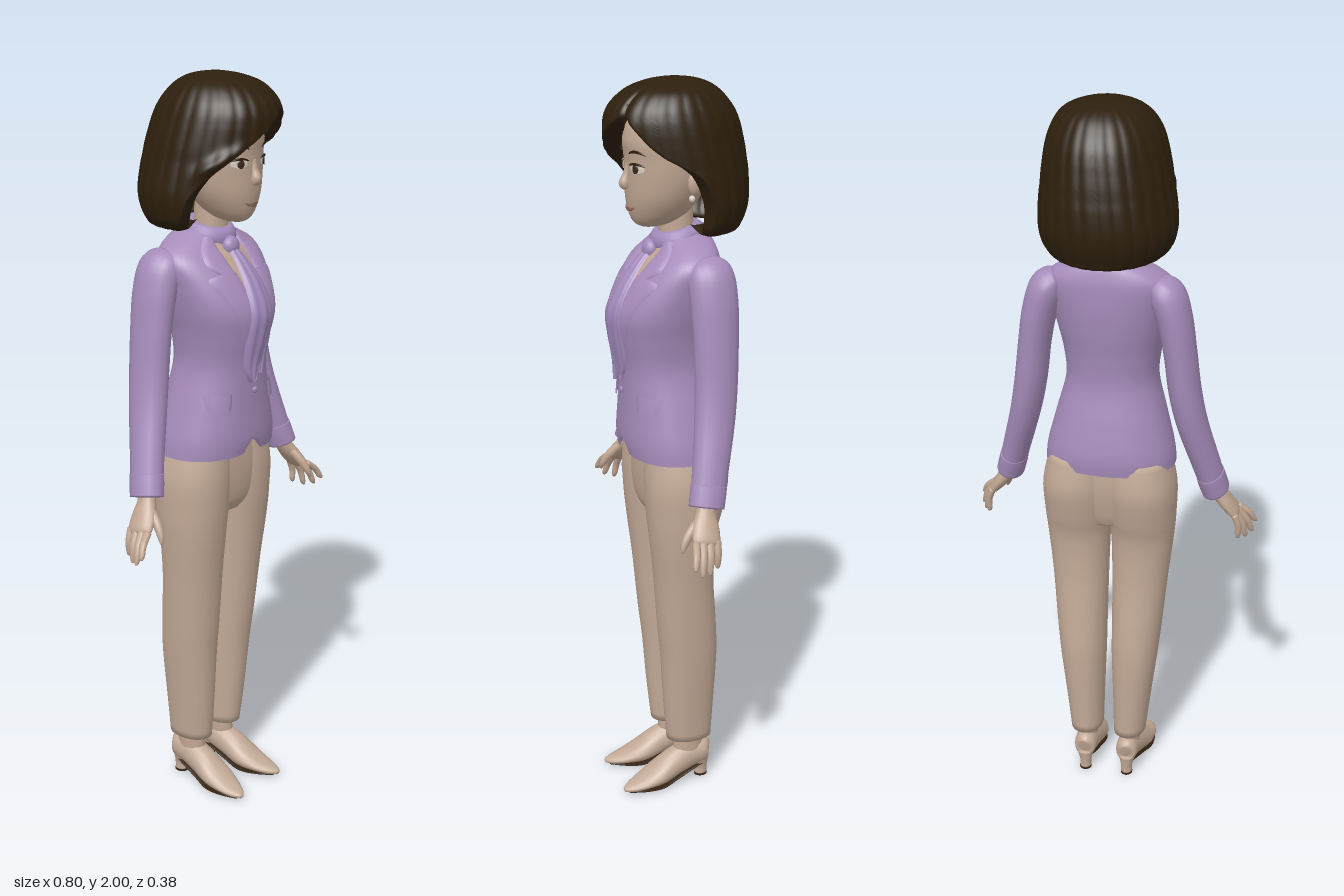
import * as THREE from 'three';
import { mergeVertices } from 'three/addons/utils/BufferGeometryUtils.js';

const mat = (name, color, side = THREE.FrontSide) => {
  const m = new THREE.MeshStandardMaterial({ color, side });
  m.name = name;
  return m;
};

// Smooth interpolation through rows of numbers, t from 0 to 1
function sample(rows, t) {
  const n = rows.length - 1, i = Math.min(n - 1, Math.floor(t * n)), f = t * n - i;
  const r = k => rows[Math.max(0, Math.min(n, k))];
  return rows[i].map((_, c) => {
    const a = r(i - 1)[c], b = r(i)[c], d = r(i + 1)[c], e = r(i + 2)[c];
    return b + 0.5 * f * (d - a + f * (2 * a - 5 * b + 4 * d - e + f * (3 * (b - d) + e - a)));
  });
}

// Surface from a function of (u, v), welded so that closed seams shade smoothly
function grid(nu, nv, fn) {
  const pos = [], idx = [];
  for (let j = 0; j <= nv; j++) for (let i = 0; i <= nu; i++) pos.push(...fn(i / nu, j / nv));
  for (let j = 0; j < nv; j++) for (let i = 0; i < nu; i++) {
    const a = j * (nu + 1) + i, d = a + nu + 1;
    idx.push(a, a + 1, d, a + 1, d + 1, d);
  }
  let g = new THREE.BufferGeometry();
  g.setAttribute('position', new THREE.Float32BufferAttribute(pos, 3));
  g.setIndex(idx);
  g = mergeVertices(g, 1e-5);
  g.computeVertexNormals();
  return g;
}

const bend = (v, e) => Math.sign(v) * Math.pow(Math.abs(v), e);

// Stack of ovals, rows going upward: [y, x0, x1, z0, z1]
function loft(rows, e = 1, cap = true, lift = () => 0) {
  const nv = rows.length * 5;
  return grid(40, nv, (u, v) => {
    const [y, x0, x1, z0, z1] = sample(rows, v), a = u * Math.PI * 2;
    const k = cap && (v === 0 || v === 1) ? 0 : 1;
    const x = (x0 + x1) / 2 + k * (x1 - x0) / 2 * bend(Math.sin(a), e);
    const z = (z0 + z1) / 2 + k * (z1 - z0) / 2 * bend(Math.cos(a), e);
    return [x, y + lift(x, z, v), z];
  });
}

// Limb along a path: [x, y, z, sideRadius, refRadius]
function limb(path, ref = new THREE.Vector3(0, 0, 1), seg = 18) {
  const nv = path.length * 5;
  return grid(seg, nv, (u, v) => {
    const p = sample(path, v), q = sample(path, Math.min(1, v + 0.01)), o = sample(path, Math.max(0, v - 0.01));
    const T = new THREE.Vector3(q[0] - o[0], q[1] - o[1], q[2] - o[2]).normalize();
    const B = ref.clone().addScaledVector(T, -T.dot(ref)).normalize();
    const A = B.clone().cross(T), a = u * Math.PI * 2, k = v === 0 || v === 1 ? 0 : 1;
    return new THREE.Vector3(p[0], p[1], p[2])
      .addScaledVector(A, k * p[3] * Math.cos(a)).addScaledVector(B, k * p[4] * Math.sin(a)).toArray();
  });
}

// Front z of a loft at (x, y)
function frontZ(rows, e, x, y) {
  let lo = 0, hi = 1;
  for (let i = 0; i < 24; i++) {
    const m = (lo + hi) / 2;
    if (sample(rows, m)[0] < y) lo = m; else hi = m;
  }
  const [, x0, x1, z0, z1] = sample(rows, lo);
  const k = Math.min(1, Math.abs(x - (x0 + x1) / 2) / ((x1 - x0) / 2));
  return (z0 + z1) / 2 + (z1 - z0) / 2 * Math.pow(1 - Math.pow(k, 2 / e), e / 2);
}

// Thin piece laid over the front of a loft, rows: [y, xa, xb]
function patch(surface, e, rows, off, folds = 0) {
  return grid(14, rows.length * 4, (u, v) => {
    const [y, xa, xb] = sample(rows, v), x = xa + (xb - xa) * u;
    const bulge = off * (1 - 0.7 * Math.pow(Math.abs(2 * u - 1), 4)) + folds * Math.sin(u * 15);
    return [x, y, frontZ(surface, e, x, y) + bulge];
  });
}
function oval(surface, cx, cy, rx, ry, off, arch = 0) {
  const rows = [];
  for (let k = -4; k <= 4; k++) {
    const a = k / 4 * Math.PI / 2;
    rows.push([cy + ry * Math.sin(a), cx - rx * Math.cos(a), cx + rx * Math.cos(a)]);
  }
  const g = patch(surface, 1, rows, off), p = g.attributes.position;
  for (let i = 0; i < p.count; i++) p.setY(i, p.getY(i) - arch * ((p.getX(i) - cx) / rx) ** 2);
  g.computeVertexNormals();
  return g;
}

const TORSO = [[1.01, .178, -.112, .148], [1.06, .172, -.115, .153], [1.15, .149, -.1, .15], [1.25, .124, -.08, .15],
  [1.33, .13, -.084, .163], [1.4, .146, -.094, .168], [1.47, .16, -.1, .138], [1.53, .168, -.1, .092],
  [1.565, .14, -.095, .058], [1.595, .08, -.085, .04], [1.61, .05, -.07, .03]].map(r => [r[0], -r[1], r[1], r[2], r[3]]);
const HEAD = [[1.622, .015, .095, .05], [1.634, .04, .117, .01], [1.66, .066, .13, -.03], [1.7, .09, .137, -.06],
  [1.75, .105, .138, -.09], [1.8, .11, .139, -.1], [1.85, .108, .142, -.1], [1.9, .09, .122, -.09],
  [1.95, .04, .065, -.05]].map(r => [r[0], .012 - r[1], .012 + r[1], r[3], r[2]]);
const LEG = [[.125, .018, .108, -.08, .048], [.25, .015, .122, -.085, .06], [.4, .01, .14, -.09, .07],
  [.5, .009, .15, -.085, .08], [.65, .007, .163, -.073, .092], [.78, .003, .177, -.076, .106],
  [.86, -.005, .183, -.096, .114], [.95, -.01, .184, -.112, .118], [1.05, -.01, .162, -.098, .11]];
// Hair rows also hold the face opening, as angles from the front
const HAIR = [[1.625, -.06, .06, -.09, .06, -80, 98], [1.608, -.125, .13, -.155, .12, -78, 98], [1.63, -.16, .165, -.172, .15, -72, 97],
  [1.67, -.174, .178, -.186, .16, -66, 96], [1.71, -.176, .181, -.19, .17, -60, 94], [1.76, -.168, .179, -.187, .178, -47, 87],
  [1.79, -.162, .176, -.182, .182, -36, 75], [1.82, -.157, .174, -.177, .187, -23, 58], [1.85, -.15, .171, -.17, .191, -8, 46],
  [1.88, -.142, .167, -.162, .193, 8, 36], [1.91, -.132, .16, -.15, .189, 24, 27], [1.94, -.116, .147, -.13, .172, 25, 25],
  [1.97, -.088, .122, -.1, .135, 25, 25], [1.99, -.045, .075, -.058, .08, 25, 25], [2, .014, .016, .009, .011, 25, 25]];

function hairGeometry() {
  return grid(150, 84, (u, v) => {
    const [y, x0, x1, z0, z1, L, R] = sample(HAIR, v);
    const a = THREE.MathUtils.degToRad(R + (360 + L - R) * u);
    const open = Math.min(1, Math.max(0, (R - L) / 25)), edge = Math.min(u, 1 - u) * 150;
    const tuck = edge < 3 ? (3 - edge) / 3 : 0;
    // fine locks, a parting groove, edges rolled in, and a flick beside the brow
    const flick = Math.exp(-(((0.95 - u) / 0.04) ** 2) - (((y - 1.79) / 0.035) ** 2));
    const k = 0.985 + 0.018 * Math.abs(Math.sin(a * 13 + y * 3)) - tuck * tuck * (0.05 + 0.2 * open) + 0.1 * flick;
    return [(x0 + x1) / 2 + k * (x1 - x0) / 2 * Math.sin(a), Math.min(2, y), (z0 + z1) / 2 + k * (z1 - z0) / 2 * Math.cos(a)];
  });
}

export function createModel() {
  const D = THREE.DoubleSide;
  const skin = mat('skin', 0xc0a591, D), beige = mat('trouser beige', 0xc3aa97), lilac = mat('jacket lilac', 0xa68cba, D);
  const scarfM = mat('scarf lilac', 0xa28abb, D), brown = mat('hair brown', 0x2d1f0d, D), sole = mat('sole brown', 0x33210f);
  const white = mat('eye white', 0xd8d0c8, D), iris = mat('iris brown', 0x3a2618, D), lip = mat('lip', 0x9c7566, D);
  const model = new THREE.Group();
  const add = (name, g, m) => {
    const mesh = new THREE.Mesh(g, m);
    mesh.name = name;
    model.add(mesh);
  };
  const pair = (name, g, m) => {
    add(name + 'Left', g, m);
    const f = g.clone().scale(-1, 1, 1), ix = f.index.array;
    for (let i = 0; i < ix.length; i += 3) [ix[i], ix[i + 1]] = [ix[i + 1], ix[i]];
    f.computeVertexNormals();
    add(name + 'Right', f, m);
  };
  const ball = (name, m, x, y, z, rx, ry, rz) =>
    add(name, new THREE.SphereGeometry(1, 20, 14).scale(rx, ry, rz).translate(x, y, z), m);
  const Y = new THREE.Vector3(0, 1, 0);

  // Trousers
  pair('trouserLeg', loft(LEG, .93), beige);
  add('trouserHips', loft([[.83, -.07, .07, -.06, .085], [.87, -.13, .13, -.075, .106], [.95, -.165, .165, -.09, .114],
    [1.05, -.158, .158, -.09, .11]], .9), beige);

  // Shoes
  pair('ankle', loft([[.07, .035, .093, -.06, .03], [.2, .035, .09, -.055, .025]]), skin);
  pair('shoe', limb([[.062, .085, -.074, .012, .018], [.062, .085, -.064, .03, .038], [.063, .077, -.02, .034, .042],
    [.066, .06, .03, .04, .04], [.07, .036, .08, .046, .031], [.077, .021, .13, .038, .018],
    [.083, .013, .17, .022, .011], [.086, .01, .19, .005, .005]], Y), beige);
  pair('sole', limb([[.062, .046, -.068, .016, .004], [.063, .035, -.02, .028, .005], [.066, .018, .03, .034, .005],
    [.07, .005, .08, .042, .005], [.077, .005, .13, .036, .005], [.084, .005, .18, .012, .005]], Y), sole);
  pair('heel', loft([[.004, .046, .078, -.072, -.036], [.03, .045, .079, -.073, -.034], [.065, .036, .09, -.078, -.015]]), beige);
  pair('heelTip', loft([[0, .045, .079, -.073, -.035], [.006, .045, .079, -.073, -.035]]), sole);

  // Jacket with a notch at the front hem
  add('jacketBody', loft(TORSO, .88, false, (x, z, v) => z > 0 ? .045 * Math.exp(-((x / .022) ** 2)) * Math.max(0, 1 - v * 12) : 0), lilac);
  pair('sleeve', limb([[.125, 1.54, -.03, .025, .045], [.155, 1.515, -.035, .047, .062], [.178, 1.45, -.037, .046, .064],
    [.194, 1.36, -.036, .043, .061], [.208, 1.25, -.032, .043, .058], [.228, 1.15, -.02, .041, .055],
    [.262, 1.03, .005, .038, .049], [.288, .94, .025, .036, .046]]), lilac);
  pair('cuff', limb([[.273, .995, .013, .038, .049], [.28, .968, .019, .039, .049], [.29, .934, .027, .038, .048]]), lilac);
  pair('lapel', patch(TORSO, .88, [[1.21, .001, .006], [1.28, .008, .035], [1.36, .018, .068], [1.44, .028, .1],
    [1.49, .034, .122], [1.502, .036, .085]], .009), lilac);
  pair('collar', patch(TORSO, .88, [[1.5, .04, .088], [1.525, .044, .11], [1.555, .046, .1], [1.588, .045, .066]], .011), lilac);
  pair('pocketFlap', patch(TORSO, .88, [[1.145, .08, .13], [1.165, .077, .131], [1.187, .075, .13]], .009), lilac);
  ball('jacketButton', scarfM, 0, 1.185, .155, .009, .009, .005);
  add('neckline', patch(TORSO, .88, [[1.38, -.008, .008], [1.46, -.03, .03], [1.53, -.046, .046], [1.57, -.048, .048]], .004), skin);

  // Hands
  pair('palm', limb([[.284, .955, .024, .02, .024], [.297, .925, .032, .02, .027], [.318, .895, .04, .019, .036],
    [.34, .866, .047, .015, .037], [.348, .856, .049, .008, .028]]), skin);
  const tips = [[.396, .812, .098], [.39, .79, .076], [.375, .785, .05], [.357, .793, .022]];
  tips.forEach(([x, y, z], i) => {
    const k = [.342, .868, .076 - i * .019], mid = c => (k[c] + [x, y, z][c]) / 2;
    pair('finger' + (i + 1), limb([[...k, .01, .011], [mid(0) + .005, mid(1) + .003, mid(2), .009, .01],
      [x * .85 + k[0] * .15, y * .85 + k[1] * .15, z * .85 + k[2] * .15, .008, .008], [x, y, z, .003, .003]], undefined, 10), skin);
  });
  pair('thumb', limb([[.303, .912, .05, .012, .014], [.313, .882, .082, .012, .013], [.32, .855, .1, .009, .01],
    [.326, .835, .107, .003, .003]], undefined, 10), skin);

  // Neck and scarf
  add('neck', new THREE.CylinderGeometry(.042, .052, .22, 24).translate(.006, 1.58, 0), skin);
  add('scarfLoop', new THREE.TorusGeometry(.048, .024, 12, 36).rotateX(Math.PI / 2).scale(1, 1.25, 1.05).rotateX(.25).translate(.002, 1.588, -.005), scarfM);
  ball('scarfKnot', scarfM, 0, 1.557, .07, .027, .028, .022);
  add('scarfFrontTail', patch(TORSO, .88, [[1.21, -.024, -.012], [1.25, -.044, .005], [1.32, -.05, .028], [1.4, -.044, .04],
    [1.48, -.03, .034], [1.56, -.016, .016]], .02, .0025), scarfM);
  add('scarfBackTail', patch(TORSO, .88, [[1.23, .01, .022], [1.28, .004, .043], [1.4, -.002, .047], [1.48, -.002, .038],
    [1.55, 0, .02]], .014, .002), scarfM);

  // Head and face
  add('head', loft(HEAD), skin);
  add('nose', limb([[.012, 1.79, .132, .009, .006], [.012, 1.76, .138, .01, .009], [.012, 1.738, .143, .014, .015],
    [.012, 1.724, .138, .011, .008]]), skin);
  for (const s of [-1, 1]) {
    const side = s > 0 ? 'Left' : 'Right', ex = .012 + s * .047;
    add('eye' + side, oval(HEAD, ex, 1.779, .021, .012, .003), white);
    add('iris' + side, oval(HEAD, ex - s * .001, 1.779, .0095, .011, .006), iris);
    add('lashes' + side, oval(HEAD, ex, 1.792, .024, .003, .007, .006), brown);
    add('brow' + side, oval(HEAD, ex + s * .002, 1.823, .025, .0035, .005, .008), brown);
    ball('ear' + side, skin, .012 + s * .108, 1.745, -.005, .012, .03, .018);
    ball('earring' + side, white, .012 + s * .114, 1.708, .004, .008, .009, .008);
  }
  add('lips', oval(HEAD, .014, 1.672, .028, .006, .005, -.006), lip);

  // Bobbed hair
  add('hair', hairGeometry(), brown);
  return model;
}
